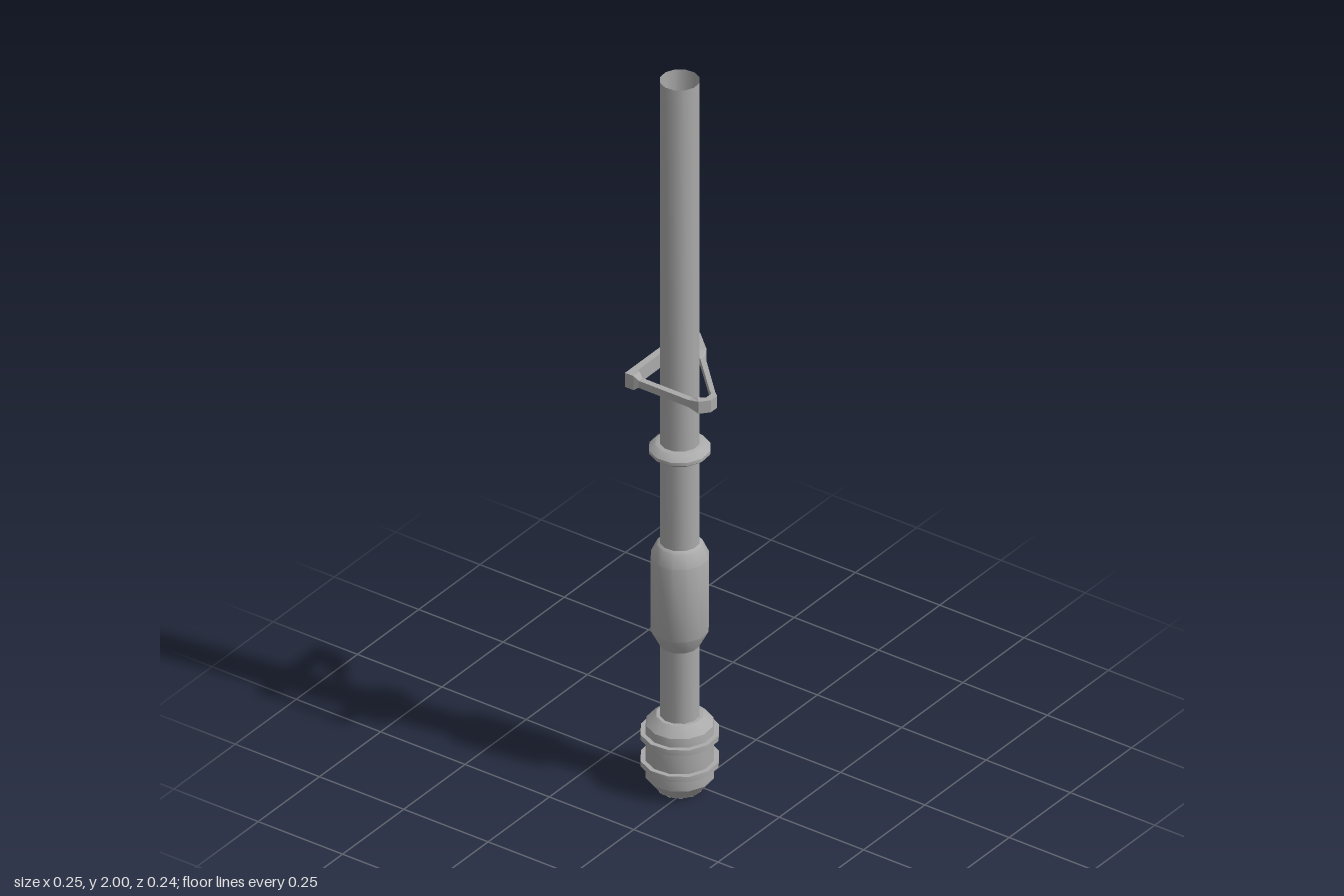
import * as THREE from 'three';
import { toCreasedNormals } from 'three/addons/utils/BufferGeometryUtils.js';

const SIDES = 12;
const START = 0.35; // turn of the facets about the axis
const AXIS = -0.026; // the shaft sits off centre, in both x and z

export function createModel() {
  const model = new THREE.Group();
  const grey = new THREE.MeshStandardMaterial({ color: 0xaaaaaa, side: THREE.DoubleSide });

  function add(name, geometry, parent = model) {
    const mesh = new THREE.Mesh(geometry, grey);
    mesh.name = name;
    parent.add(mesh);
    return mesh;
  }

  // Turned part from [radius, height] pairs, listed upwards
  function turned(name, profile, parent) {
    const points = profile.map(([r, y]) => new THREE.Vector2(r, y));
    const lathe = new THREE.LatheGeometry(points, SIDES, START);
    return add(name, toCreasedNormals(lathe, 0.56), parent);
  }

  const barrel = new THREE.Group();
  barrel.name = 'barrel';
  barrel.position.set(AXIS, 0, AXIS);
  model.add(barrel);

  // Hollow shaft, open at the top
  turned('shaft', [[0.049, 0.2], [0.049, 2]], barrel);

  // Bulbous end with two flanges
  turned('head', [
    [0.057, 0], [0.085, 0.036],
    [0.085, 0.07], [0.097, 0.07], [0.097, 0.085], [0.085, 0.085],
    [0.085, 0.145], [0.097, 0.145], [0.097, 0.16], [0.085, 0.16],
    [0.083, 0.183], [0.058, 0.206], [0.049, 0.206],
  ], barrel);
  const cap = add('endCap', new THREE.CircleGeometry(0.057, SIDES, START - Math.PI / 2), barrel);
  cap.rotation.x = Math.PI / 2;

  // Wider sleeve with tapered ends
  turned('sleeve', [
    [0.049, 0.405], [0.072, 0.45], [0.072, 0.655], [0.056, 0.69], [0.049, 0.695],
  ], barrel);

  // Collar ring
  turned('collar', [
    [0.049, 0.937], [0.06, 0.94], [0.076, 0.952], [0.076, 0.961], [0.06, 0.975], [0.049, 0.977],
  ], barrel);

  // Triangular bracket: a straight back bar and a bent arm
  const bracket = new THREE.Group();
  bracket.name = 'bracket';
  model.add(bracket);
  const bar = add('backBar', new THREE.BoxGeometry(0.252, 0.04, 0.018), bracket);
  bar.position.set(-0.001, 1.169, -0.106);

  // Arm sections: outer x, z, inner x, z, bottom, top
  const sections = [
    [0.125, -0.098, 0.104, -0.098, 1.149, 1.189],
    [0.125, -0.075, 0.102, -0.094, 1.149, 1.189],
    [0.076, -0.021, 0.055, -0.042, 1.149, 1.189],
    [0.06, -0.013, 0.045, -0.017, 1.158, 1.178],
    [-0.055, 0.1, -0.06, 0.088, 1.158, 1.178],
    [-0.075, 0.12, -0.075, 0.103, 1.15, 1.184],
    [-0.1, 0.12, -0.098, 0.103, 1.15, 1.184],
    [-0.123, 0.1, -0.107, 0.085, 1.15, 1.184],
    [-0.123, 0.07, -0.107, 0.07, 1.158, 1.178],
    [-0.123, -0.078, -0.107, -0.078, 1.158, 1.178],
    [-0.127, -0.09, -0.102, -0.09, 1.149, 1.189],
    [-0.127, -0.098, -0.1, -0.098, 1.149, 1.189],
  ].map(([ox, oz, ix, iz, low, high]) => [
    [ox, low, oz], [ox, high, oz], [ix, high, iz], [ix, low, iz],
  ]);
  const vertices = [];
  for (let i = 0; i < sections.length - 1; i++) {
    const a = sections[i], b = sections[i + 1];
    for (let k = 0; k < 4; k++) {
      const n = (k + 1) % 4;
      vertices.push(...a[k], ...a[n], ...b[n], ...a[k], ...b[n], ...b[k]);
    }
  }
  const arm = new THREE.BufferGeometry();
  arm.setAttribute('position', new THREE.Float32BufferAttribute(vertices, 3));
  arm.computeVertexNormals();
  add('bentArm', arm, bracket);

  return model;
}
